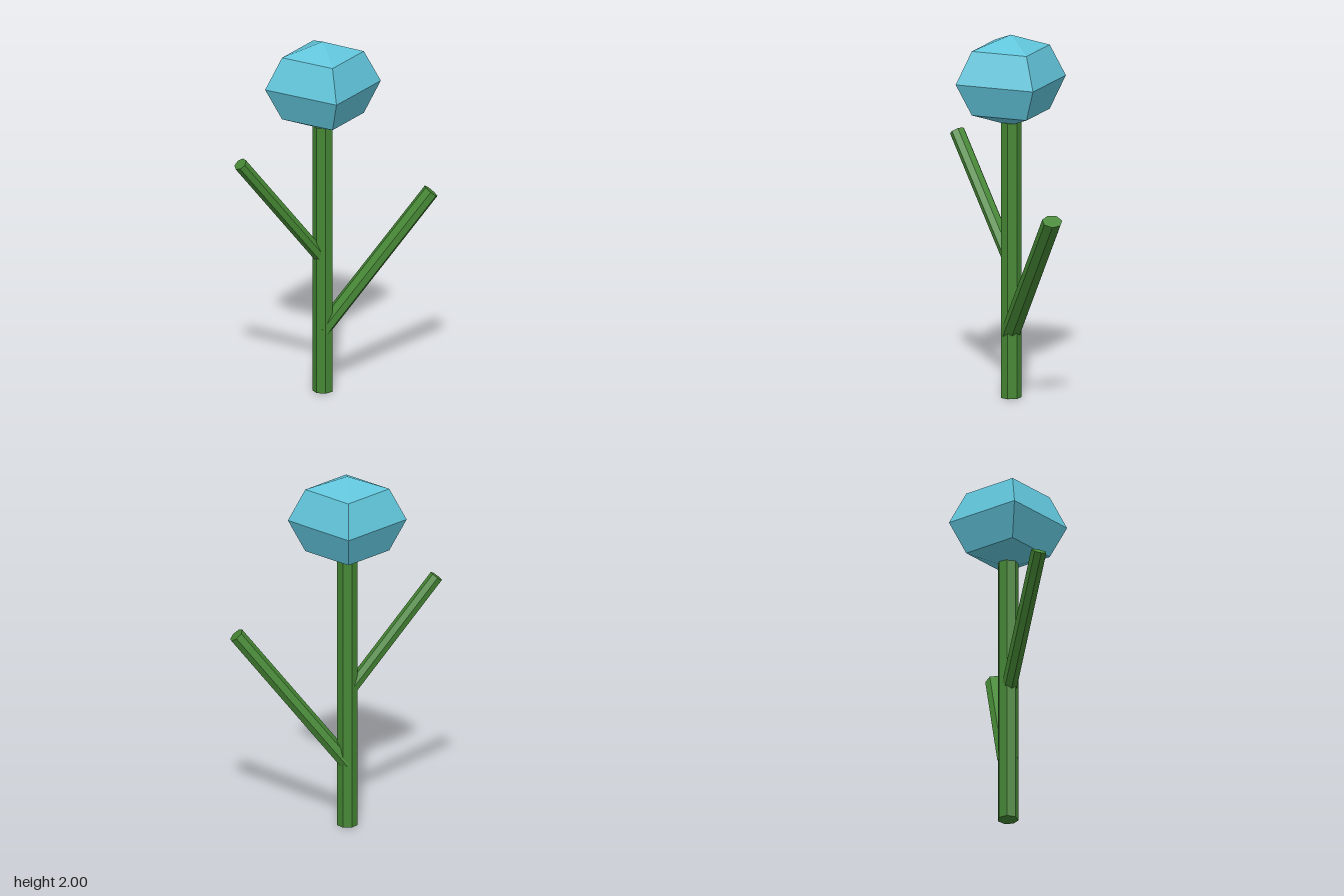
import * as THREE from 'three';

const green = new THREE.MeshStandardMaterial({ color: 0x458734, flatShading: true, name: 'stemGreen' });
const blue = new THREE.MeshStandardMaterial({ color: 0x62c6dc, flatShading: true, name: 'bloomBlue' });
const AXIS_X = -0.057;

// Seven-sided rod between two points, slightly flattened, one ridge towards the back
function rod(name, from, to, width, depth) {
  const a = new THREE.Vector3(...from), b = new THREE.Vector3(...to);
  const y = b.clone().sub(a);
  const length = y.length();
  y.normalize();
  const z = new THREE.Vector3(0, 0, -1);
  z.addScaledVector(y, -z.dot(y)).normalize();
  const x = new THREE.Vector3().crossVectors(y, z);
  const geometry = new THREE.CylinderGeometry(1, 1, length, 7);
  geometry.scale(width, 1, depth);
  const mesh = new THREE.Mesh(geometry, green);
  mesh.name = name;
  mesh.quaternion.setFromRotationMatrix(new THREE.Matrix4().makeBasis(x, y, z));
  mesh.position.copy(a).add(b).multiplyScalar(0.5);
  return mesh;
}

export function createModel() {
  const model = new THREE.Group();
  model.name = 'flower';

  // Upright stem
  const stem = new THREE.Mesh(new THREE.CylinderGeometry(0.057, 0.057, 1.52, 7), green);
  stem.name = 'stem';
  stem.position.set(AXIS_X, 0.76, 0);
  model.add(stem);

  // Side shoots growing out of the stem axis
  model.add(rod('leftShoot', [AXIS_X, 0.353, 0], [0.541, 1.093, 0], 0.0428, 0.058));
  model.add(rod('rightShoot', [AXIS_X, 0.755, 0], [-0.541, 1.379, 0.115], 0.038, 0.043));

  // Faceted four-sided bloom
  const bloom = new THREE.Mesh(new THREE.SphereGeometry(0.32, 4, 4), blue);
  bloom.name = 'bloom';
  bloom.scale.y = 0.25 / 0.32;
  bloom.position.set(AXIS_X, 1.75, 0);
  model.add(bloom);

  return model;
}
